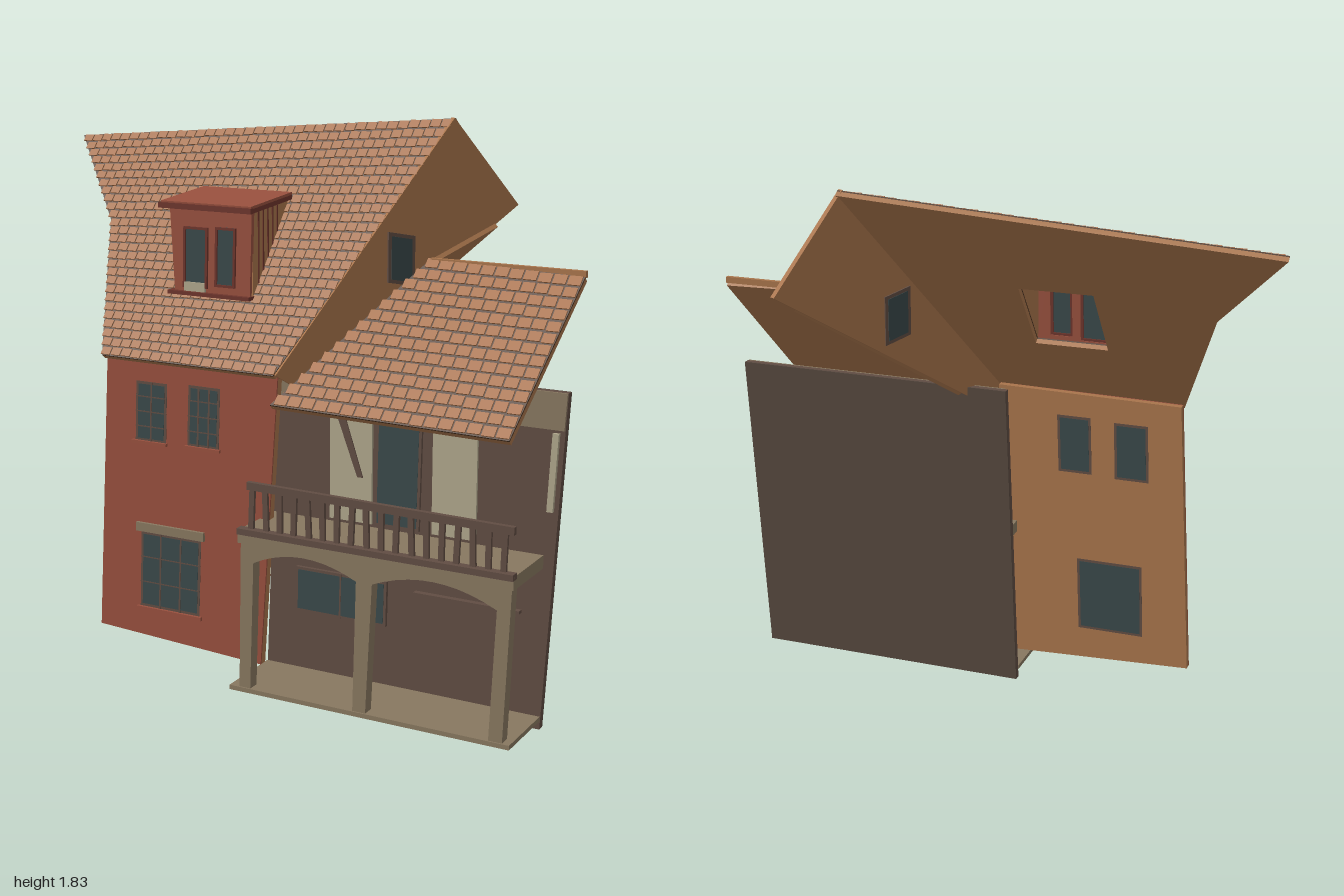
import * as THREE from 'three';
import { mergeGeometries } from 'three/addons/utils/BufferGeometryUtils.js';

const M = {};
const mat = (name, color) => { M[name] = new THREE.MeshStandardMaterial({ color }); M[name].name = name; };
mat('brickRed', 0x98503e);
mat('tanWood', 0xa9754c);
mat('darkWood', 0x614d43);
mat('backTimber', 0x56483e);
mat('stoneBeige', 0x887860);
mat('creamPlaster', 0xb0a78c);
mat('glassTeal', 0x3a494a);
mat('tileOrange', 0xa86f45);
mat('tileDark', 0x4c3422);
mat('trimRed', 0x6e352c);

const toShape = pts => new THREE.Shape(pts.map(p => new THREE.Vector2(p[0], p[1])));
const rect = (x0, x1, y0, y1, lean = 0) =>
  [[x0, y0], [x1, y0], [x1 + lean * (y1 - y0), y1], [x0 + lean * (y1 - y0), y1]];
const mix = THREE.MathUtils.lerp;

function add(parent, name, geo, material, x = 0, y = 0, z = 0) {
  const m = new THREE.Mesh(geo, material);
  m.name = name;
  m.position.set(x, y, z);
  parent.add(m);
  return m;
}

// outline in x,y (points or a Shape) extruded between two depths
function plate(parent, name, outline, z0, z1, material, holes = []) {
  const s = Array.isArray(outline) ? toShape(outline) : outline;
  holes.forEach(h => s.holes.push(toShape(h)));
  const geo = new THREE.ExtrudeGeometry(s, { depth: z1 - z0, bevelEnabled: false, curveSegments: 10 });
  return add(parent, name, geo, material, 0, 0, z0);
}

const box = (parent, name, x0, x1, y0, y1, z0, z1, material) =>
  add(parent, name, new THREE.BoxGeometry(x1 - x0, y1 - y0, z1 - z0), material,
    (x0 + x1) / 2, (y0 + y1) / 2, (z0 + z1) / 2);

// convex slab: outer face corners anticlockwise, thickened by an offset
function slab(parent, name, pts, off, material) {
  const back = pts.map(p => p.map((v, i) => v + off[i]));
  const pos = [], tri = (...c) => c.forEach(p => pos.push(...p));
  const n = pts.length;
  for (let i = 1; i < n - 1; i++) {
    tri(pts[0], pts[i], pts[i + 1]);
    tri(back[0], back[i + 1], back[i]);
  }
  for (let i = 0; i < n; i++) {
    const j = (i + 1) % n;
    tri(pts[i], back[i], back[j]);
    tri(pts[i], back[j], pts[j]);
  }
  const g = new THREE.BufferGeometry();
  g.setAttribute('position', new THREE.Float32BufferAttribute(pos, 3));
  g.computeVertexNormals();
  return add(parent, name, g, material);
}

// framed window with glazing bars, showing on both sides of a wall
function windowUnit(parent, name, x0, x1, y0, y1, zb, zf, cols, rows, lean) {
  const g = new THREE.Group();
  g.name = name;
  parent.add(g);
  const t = 0.009;
  plate(g, 'frame', rect(x0, x1, y0, y1, lean), zb, zf, M.darkWood);
  plate(g, 'glass', rect(x0 + t, x1 - t, y0 + t, y1 - t, lean), zb - 0.001, zf + 0.001, M.glassTeal);
  for (let i = 1; i < cols; i++) {
    const x = x0 + (x1 - x0) * i / cols;
    plate(g, 'verticalBar', rect(x - 0.003, x + 0.003, y0, y1, lean), zf, zf + 0.002, M.darkWood);
  }
  for (let i = 1; i < rows; i++) {
    const y = y0 + (y1 - y0) * i / rows, shift = lean * (y - y0);
    plate(g, 'crossBar', rect(x0 + shift, x1 + shift, y - 0.002, y + 0.002), zf, zf + 0.002, M.darkWood);
  }
}

// sloping roof: tan boarding, dark underlay, and tile rows fanned between eave and ridge
function tiledRoof(parent, name, o) {
  const g = new THREE.Group();
  g.name = name;
  parent.add(g);
  const th = Math.atan(1 / o.slope), c = Math.cos(th);
  g.position.set(0, o.y0, o.z0);
  g.rotation.x = -th;
  const flat = pts => pts.map(([x, y]) => [x, (y - o.y0) / c]);
  plate(g, 'roofBoarding', flat(o.outline), -0.026, -0.008, M.tanWood, o.holes.map(flat));
  plate(g, 'tileUnderlay', flat(o.outline), -0.008, -0.003, M.tileDark, o.holes.map(flat));
  const tiles = [];
  for (let r = 0; r < o.rows; r++) {
    const t = (r + 0.5) / o.rows;
    for (const [a, b] of o.spans(t)) {
      const n = Math.round((b - a) / o.tile), w = (b - a) / n;
      for (let i = 0; i < n; i++) {
        const x = a + (i + 0.5) * w;
        const low = o.eave(x), high = o.ridge(x);
        const h = (high - low) / o.rows / c;
        const drop = ((i * 7 + r * 3) % 5 - 2) * 0.0006;
        tiles.push(new THREE.BoxGeometry(w * 0.88, h * 0.84, 0.004).rotateX(-0.08)
          .translate(x, (mix(low, high, t) - o.y0) / c + drop, 0));
      }
    }
  }
  add(g, 'tiles', mergeGeometries(tiles), M.tileOrange);
}

export function createModel() {
  const root = new THREE.Group();
  root.name = 'house';

  // left brick wall
  const wall = [[-0.635, 0.10], [0, 0.07], [0.07, 1.07], [-0.58, 1.06]];
  plate(root, 'leftWall', wall, 0.29, 0.314, M.tanWood);
  plate(root, 'leftWallBrick', wall, 0.314, 0.32, M.brickRed);
  windowUnit(root, 'upperWindowA', -0.475, -0.355, 0.775, 0.978, 0.289, 0.321, 2, 4, 0.04);
  windowUnit(root, 'upperWindowB', -0.272, -0.152, 0.78, 0.985, 0.289, 0.321, 3, 4, 0.04);
  windowUnit(root, 'lowerWindow', -0.47, -0.235, 0.195, 0.46, 0.289, 0.321, 3, 3, 0.04);
  box(root, 'upperSillA', -0.485, -0.35, 0.767, 0.777, 0.31, 0.331, M.brickRed);
  box(root, 'upperSillB', -0.28, -0.145, 0.772, 0.782, 0.31, 0.331, M.brickRed);
  box(root, 'lowerSill', -0.48, -0.225, 0.182, 0.195, 0.31, 0.331, M.brickRed);
  box(root, 'lowerLintel', -0.475, -0.21, 0.462, 0.492, 0.31, 0.331, M.stoneBeige);

  // main roof with an opening for the dormer
  tiledRoof(root, 'mainRoof', {
    outline: [[-0.58, 1.06], [0.07, 1.06], [0.41, 1.83], [-1, 1.72], [-0.75, 1.46]],
    holes: [rect(-0.36, -0.11, 1.29, 1.52)],
    slope: 1.28, y0: 1.06, z0: 0.355, rows: 27, tile: 0.038,
    eave: () => 1.06,
    ridge: x => mix(1.72, 1.83, (x + 1) / 1.41),
    spans: t => {
      const left = t < 0.59 ? mix(-0.58, -0.75, t / 0.59) : mix(-0.75, -1, (t - 0.59) / 0.41);
      const right = mix(0.07, 0.41, t);
      return t > 0.31 && t < 0.66 ? [[left, -0.36], [-0.11, right]] : [[left, right]];
    },
  });

  // gable wall, its window and the valley slope beside it
  slab(root, 'gableWall', [[0.41, 1.83, -0.24], [0.08, 1.06, 0.352], [0.125, 1.0, 0.27], [0.54, 1.53, -0.48]],
    [-0.017, 0, -0.01], M.tanWood);
  slab(root, 'valleySlope', [[0.125, 1.0, 0.27], [0.13, 1.0, 0.47], [0.48, 1.42, 0.07], [0.495, 1.475, -0.39]],
    [0.011, -0.01, 0], M.tanWood);
  const gw = new THREE.Group();
  gw.name = 'gableWindow';
  gw.position.set(0.31, 1.388, -0.06);
  gw.rotation.y = 1.058;
  root.add(gw);
  const skewed = (w, h) => [[-w, 0.2 * w - h], [w, -0.2 * w - h], [w, h - 0.2 * w], [-w, h + 0.2 * w]];
  plate(gw, 'frame', skewed(0.052, 0.082), -0.026, 0.006, M.darkWood);
  plate(gw, 'glass', skewed(0.04, 0.07), -0.028, 0.008, M.glassTeal);

  // lower roof over the balcony
  tiledRoof(root, 'balconyRoof', {
    outline: [[0.13, 1.0], [0.925, 0.99], [0.99, 1.41], [0.48, 1.425]],
    holes: [],
    slope: 1.05, y0: 1.0, z0: 0.478, rows: 14, tile: 0.046,
    eave: x => mix(1.0, 0.99, (x - 0.13) / 0.795),
    ridge: x => mix(1.425, 1.41, (x - 0.48) / 0.51),
    spans: t => [[mix(0.13, 0.48, t), mix(0.925, 0.99, t)]],
  });
  box(root, 'balconyRoofRidge', 0.48, 0.99, 1.403, 1.424, 0.064, 0.08, M.tanWood);

  // dormer
  const dormer = new THREE.Group();
  dormer.name = 'dormer';
  root.add(dormer);
  const sashA = rect(-0.345, -0.253, 1.285, 1.485, 0.03), sashB = rect(-0.224, -0.148, 1.295, 1.49, 0.03);
  plate(dormer, 'dormerFront', [[-0.38, 1.27], [-0.095, 1.27], [-0.085, 1.55], [-0.395, 1.55]],
    0.196, 0.212, M.brickRed, [sashA, sashB]);
  [-0.09, -0.365].forEach(x => slab(dormer, 'dormerCheek',
    [[x, 1.27, 0.2], [x, 1.555, -0.035], [x, 1.555, 0.2]], [-0.014, 0, 0], M.tanWood));
  for (let z = 0.04; z < 0.19; z += 0.03) {
    const foot = 1.06 + 1.28 * (0.355 - z);
    [-0.09, -0.379].forEach(x => box(dormer, 'cheekBatten', x - 0.002, x + 0.002, foot, 1.55, z, z + 0.007, M.trimRed));
  }
  const lid = new THREE.Group();
  lid.name = 'dormerRoof';
  lid.position.set(-0.25, 1.562, 0.093);
  lid.rotation.x = 0.07;
  dormer.add(lid);
  box(lid, 'lidTop', -0.17, 0.17, 0.003, 0.012, -0.133, 0.133, M.brickRed);
  box(lid, 'lidUnderside', -0.17, 0.17, -0.012, 0.003, -0.133, 0.133, M.trimRed);
  box(dormer, 'dormerFascia', -0.425, -0.075, 1.542, 1.56, 0.222, 0.236, M.trimRed);
  box(dormer, 'dormerSill', -0.4, -0.09, 1.26, 1.272, 0.19, 0.228, M.trimRed);
  [sashA, sashB].forEach(s => {
    const [[x0, y0], [x1], [, y1]] = s;
    plate(dormer, 'sashFrame', s, 0.2, 0.22, M.trimRed,
      [rect(x0 + 0.008, x1 - 0.008, y0 + 0.008, y1 - 0.008, 0.03)]);
    plate(dormer, 'sashGlass', s, 0.205, 0.214, M.glassTeal);
  });
  box(dormer, 'curtain', -0.34, -0.26, 1.273, 1.303, 0.21, 0.2205, M.creamPlaster);

  // timbered back wall of the right side
  const rear = [[-0.035, 0], [0.94, 0], [1.0, 1.08], [0.01, 1.08]];
  plate(root, 'rightWallBack', rear, 0.19, 0.196, M.backTimber);
  plate(root, 'rightWall', rear, 0.196, 0.215, M.darkWood);
  plate(root, 'topBand', [[0.02, 0.965], [0.992, 0.965], [0.999, 1.08], [0.02, 1.08]], 0.215, 0.222, M.stoneBeige);
  plate(root, 'plasterPanelLeft', rect(0.205, 0.355, 0.58, 0.955), 0.215, 0.224, M.creamPlaster);
  plate(root, 'plasterPanelRight', rect(0.565, 0.715, 0.58, 0.955), 0.215, 0.224, M.creamPlaster);
  plate(root, 'plasterPanelEdge', rect(0.945, 0.965, 0.71, 0.955, 0.05), 0.215, 0.228, M.creamPlaster);
  plate(root, 'diagonalBrace', [[0.305, 0.73], [0.325, 0.73], [0.25, 0.955], [0.22, 0.955]], 0.224, 0.228, M.darkWood);
  windowUnit(root, 'balconyDoor', 0.365, 0.522, 0.58, 0.965, 0.216, 0.226, 1, 1, 0.02);
  windowUnit(root, 'groundWindow', 0.08, 0.41, 0.245, 0.397, 0.216, 0.228, 2, 1, 0.02);
  box(root, 'wallBar', 0.51, 0.87, 0.372, 0.382, 0.215, 0.235, M.darkWood);

  // balcony: base, arcade, deck and railing
  box(root, 'porchFloor', -0.035, 0.94, 0.028, 0.043, 0.215, 0.46, M.stoneBeige);
  const arcade = toShape([[0, 0.04], [0.04, 0.04], [0.055, 0.47]]);
  arcade.quadraticCurveTo(0.23, 0.56, 0.42, 0.47);
  arcade.lineTo(0.41, 0.04);
  arcade.lineTo(0.455, 0.04);
  arcade.lineTo(0.475, 0.47);
  arcade.quadraticCurveTo(0.68, 0.56, 0.888, 0.46);
  arcade.lineTo(0.87, 0.04);
  arcade.lineTo(0.915, 0.04);
  arcade.lineTo(0.935, 0.55);
  arcade.lineTo(0.01, 0.55);
  plate(root, 'arcade', arcade, 0.415, 0.455, M.stoneBeige);
  box(root, 'balconyDeck', 0, 0.94, 0.53, 0.572, 0.225, 0.458, M.stoneBeige);
  box(root, 'deckTrim', 0, 0.94, 0.56, 0.58, 0.435, 0.465, M.darkWood);
  const rail = box(root, 'handrail', 0.03, 0.935, 0.702, 0.727, 0.435, 0.452, M.darkWood);
  rail.rotation.z = -0.012;
  for (let i = 0; i < 18; i++) {
    const x = 0.045 + i * 0.0505;
    const b = box(root, 'baluster', x - 0.009, x + 0.009, 0.572, 0.71, 0.438, 0.449, M.darkWood);
    b.rotation.z = ((i * 5) % 7 - 3) * 0.015;
  }
  return root;
}
